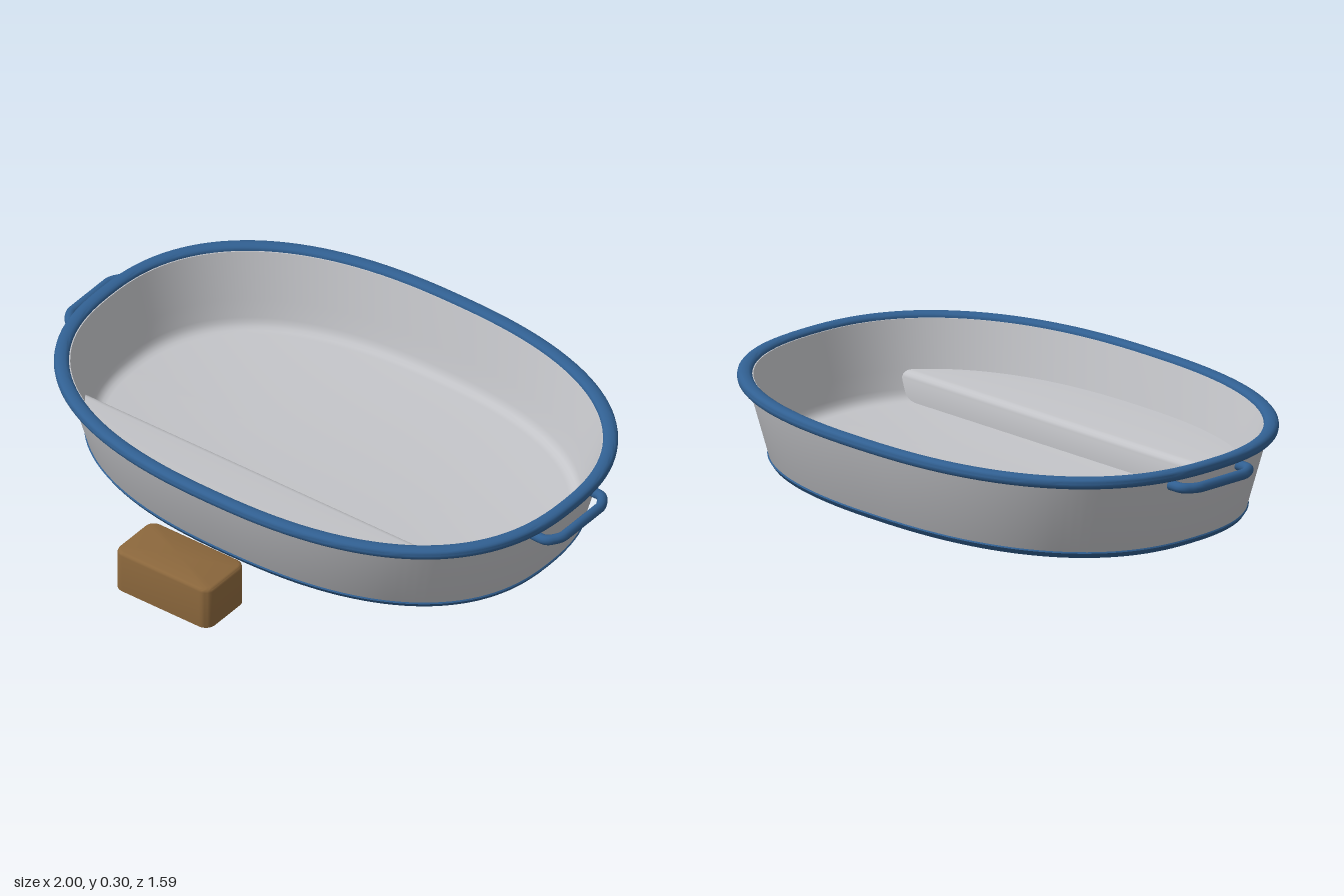
import * as THREE from 'three';
import { toCreasedNormals } from 'three/addons/utils/BufferGeometryUtils.js';

const A = 0.95, B = 0.672, N = 2.4, ZC = -0.127, SEG = 128;

function material(name, color) {
  const m = new THREE.MeshStandardMaterial({ color });
  m.name = name;
  return m;
}

// Skin a grid of points: rows[i][k] = [x, y, z]
function skin(rows, wrap, flip, crease) {
  const pos = [], idx = [], n = rows[0].length;
  rows.forEach(r => r.forEach(p => pos.push(...p)));
  for (let i = 0; i < rows.length - 1; i++) {
    for (let k = 0; k < (wrap ? n : n - 1); k++) {
      const k2 = (k + 1) % n;
      const a = i * n + k, b = a + n, c = i * n + k2, d = c + n;
      if (flip) idx.push(a, c, b, b, c, d);
      else idx.push(a, b, c, b, d, c);
    }
  }
  const g = new THREE.BufferGeometry();
  g.setAttribute('position', new THREE.Float32BufferAttribute(pos, 3));
  g.setIndex(idx);
  return toCreasedNormals(g, crease);
}

// Oval ring, inset by d from the outer rim line, at height y
function oval(d, y) {
  const pts = [], a = A - d, b = Math.max(0, B - d);
  const pw = v => Math.sign(v) * Math.pow(Math.abs(v), 2 / N);
  for (let k = 0; k < SEG; k++) {
    const t = (k / SEG) * Math.PI * 2;
    pts.push([a * pw(Math.cos(t)), y, ZC + b * pw(Math.sin(t))]);
  }
  return pts;
}
const ovalLoft = profile => skin(profile.map(p => oval(...p)), true, false, 0.6);

// Rounded rectangle ring, inset by d, at height y
function roundRect(hx, hz, r, d, y) {
  const pts = [];
  for (let q = 0; q < 4; q++) {
    const sx = q === 0 || q === 3 ? 1 : -1, sz = q < 2 ? 1 : -1;
    for (let j = 0; j <= 6; j++) {
      const t = (q + j / 6) * Math.PI / 2;
      pts.push([sx * (hx - r) + (r - d) * Math.cos(t), y, sz * (hz - r) + (r - d) * Math.sin(t)]);
    }
  }
  return pts;
}

export function createModel() {
  const steel = material('pale grey', 0xc3c4c8);
  const blue = material('blue trim', 0x316092);
  const brown = material('brown block', 0x8b673c);
  const model = new THREE.Group();
  model.name = 'ovalTub';
  const add = (name, geo, mat) => {
    const m = new THREE.Mesh(geo, mat);
    m.name = name;
    model.add(m);
    return m;
  };

  // Tub: recessed underside, flared wall, rounded inner floor corner
  add('tub', ovalLoft([
    [B, 0.02], [0.18, 0.02], [0.18, 0.003], [0.108, 0.003], [0.096, 0.022], [0.03, 0.272],
    [0.035, 0.285], [0.05, 0.285], [0.095, 0.13], [0.111, 0.07], [0.116, 0.056],
    [0.124, 0.045], [0.135, 0.038], [0.15, 0.035], [B, 0.035],
  ]), steel);

  // Foot ring
  add('footRing', ovalLoft([
    [0.18, 0.004], [0.18, 0], [0.109, 0], [0.102, 0.004], [0.092, 0.02], [0.095, 0.024], [0.105, 0.024],
  ]), blue);

  // Rolled rim
  const rim = [];
  for (let i = 0; i <= 16; i++) {
    const t = (i / 16) * Math.PI * 2, c = Math.cos(t), s = Math.sin(t);
    rim.push([0.0235 - 0.0235 * Math.sign(c) * Math.abs(c) ** 0.8,
      0.281 + 0.019 * Math.sign(s) * Math.abs(s) ** 0.8]);
  }
  add('rim', ovalLoft(rim), blue);

  // Step along the front of the inside, following the wall
  const a = A - 0.092, b = B - 0.092, z0 = 0.155, top = 0.13;
  const endX = a * Math.pow(1 - Math.pow((z0 - ZC) / b, N), 1 / N);
  const rows = [];
  for (let i = 0; i <= 64; i++) {
    const x = endX * Math.sin((i / 64 - 0.5) * Math.PI);
    const wall = ZC + b * Math.pow(1 - Math.pow(Math.abs(x) / a, N), 1 / N);
    const row = [[x, 0.032, z0], [x, top - 0.03, z0]];
    for (let j = 1; j <= 5; j++) {
      const t = (j / 5) * Math.PI / 2;
      row.push([x, top - 0.03 + 0.03 * Math.sin(t), Math.min(wall, z0 + 0.03 - 0.03 * Math.cos(t))]);
    }
    row.push([x, top, Math.max(wall, z0)]);
    rows.push(row);
  }
  add('innerStep', skin(rows, false, true, 0.6), steel);

  // Side handles
  for (const s of [1, -1]) {
    const P = (x, z) => new THREE.Vector3(s * x, 0.243, ZC + z);
    const path = new THREE.CurvePath();
    const line = (p, q) => path.add(new THREE.LineCurve3(p, q));
    const bend = (p, c, q) => path.add(new THREE.QuadraticBezierCurve3(p, c, q));
    line(P(0.9, -0.148), P(0.935, -0.148));
    bend(P(0.935, -0.148), P(0.952, -0.148), P(0.962, -0.136));
    line(P(0.962, -0.136), P(0.973, -0.12));
    bend(P(0.973, -0.12), P(0.983, -0.105), P(0.983, -0.09));
    line(P(0.983, -0.09), P(0.983, 0.09));
    bend(P(0.983, 0.09), P(0.983, 0.105), P(0.973, 0.12));
    line(P(0.973, 0.12), P(0.962, 0.136));
    bend(P(0.962, 0.136), P(0.952, 0.148), P(0.935, 0.148));
    line(P(0.935, 0.148), P(0.9, 0.148));
    add(s > 0 ? 'leftHandle' : 'rightHandle', new THREE.TubeGeometry(path, 64, 0.017, 12), blue);
  }

  // Loose step block standing in front
  const ring = (d, y) => roundRect(0.19, 0.102, 0.036, d, y);
  const flat = y => ring(0, y).map(() => [0, y, 0]);
  const block = [flat(0), ring(0, 0), ring(0, 0.138), ring(0.002, 0.144), ring(0.006, 0.148),
    ring(0.012, 0.15), flat(0.15)];
  add('stepBlock', skin(block, true, false, 0.7), brown).position.set(-0.002, 0, 0.693);

  return model;
}
